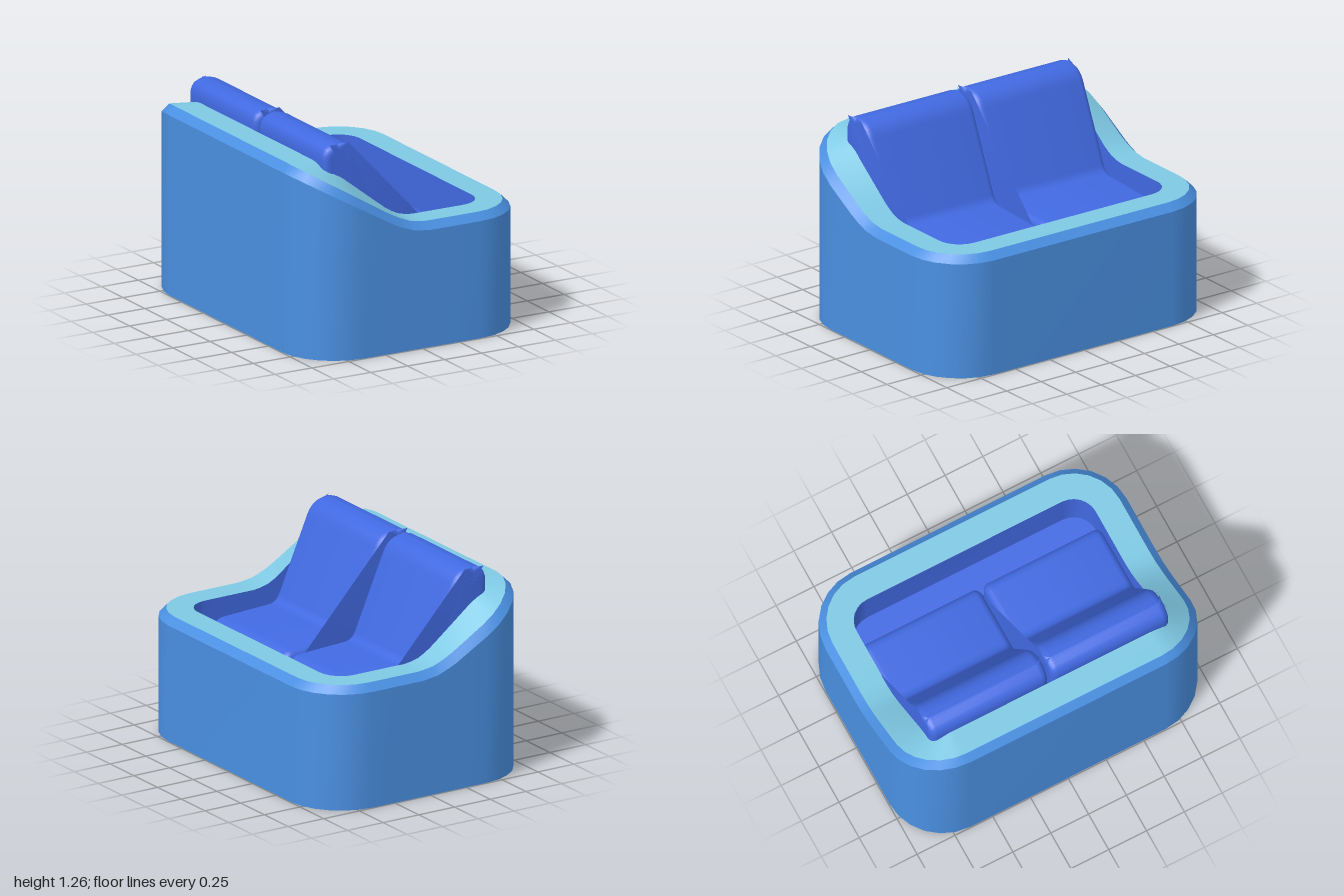
import * as THREE from 'three';
import { toCreasedNormals } from 'three/addons/utils/BufferGeometryUtils.js';

const HX = 0.745, CX = 0.395, CZ = 0.645, R = 0.35; // half width, corner centres, corner radius
const FLOOR = 0.45;

// Height of the outer wall: high back sloping down to a low front
const PROFILE = [[-0.745, 1.1], [-0.19, 0.785], [-0.13, 0.757], [-0.05, 0.728], [0.05, 0.715], [0.745, 0.715]];
function wallHeight(x) {
  for (let i = 1; i < PROFILE.length; i++) {
    const [x0, y0] = PROFILE[i - 1], [x1, y1] = PROFILE[i];
    if (x <= x1) return y0 + (y1 - y0) * Math.max(0, (x - x0) / (x1 - x0));
  }
  return 0.715;
}

// Stations round the rounded rectangle: centre plus outward direction
function makeStations() {
  const list = [];
  const corner = (sx, sz, start) => {
    for (let i = 0; i <= 6; i++) {
      const a = start + (i / 6) * Math.PI / 2;
      list.push([sx * CX, sz * CZ, Math.cos(a), Math.sin(a)]);
    }
  };
  const side = [0.2, 0.05, 0, -0.05, -0.09, -0.13, -0.19, -0.28];
  corner(1, 1, 0);
  side.forEach(x => list.push([x, CZ, 0, 1]));
  corner(-1, 1, Math.PI / 2);
  corner(-1, -1, Math.PI);
  [...side].reverse().forEach(x => list.push([x, CZ * -1, 0, -1]));
  corner(1, -1, Math.PI * 1.5);
  return list;
}
const STATIONS = makeStations();

// Ring inset from the outer wall; height is a function of x
const ring = (inset, heightAt) => STATIONS.map(([cx, cz, dx, dz]) => {
  const x = cx + dx * (R - inset), z = cz + dz * (R - inset);
  return [x, heightAt(x * HX / (HX - inset)), z];
});
const centre = y => STATIONS.map(() => [0, y, 0]);

// Closed band of faces between two rings
function band(a, b) {
  const n = a.length, index = [];
  for (let i = 0; i < n; i++) {
    const j = (i + 1) % n;
    index.push(i, n + i, j, j, n + i, n + j);
  }
  const g = new THREE.BufferGeometry();
  g.setAttribute('position', new THREE.Float32BufferAttribute([...a, ...b].flat(), 3));
  g.setIndex(index);
  g.computeVertexNormals();
  return g;
}

// Polygon with rounded corners; each point is [x, y, radius]
function roundedShape(points) {
  const s = new THREE.Shape(), n = points.length;
  points.forEach(([x, y, r], i) => {
    const p = new THREE.Vector2(x, y);
    const toward = q => new THREE.Vector2(q[0], q[1]).sub(p).setLength(r).add(p);
    const a = toward(points[(i + n - 1) % n]), b = toward(points[(i + 1) % n]);
    if (i === 0) s.moveTo(a.x, a.y); else s.lineTo(a.x, a.y);
    s.quadraticCurveTo(x, y, b.x, b.y);
  });
  s.closePath();
  return s;
}

export function createModel() {
  const group = new THREE.Group();
  const mat = color => new THREE.MeshStandardMaterial({ color });
  const shellMat = mat(0x4a90e2), rimMat = mat(0x7ec8e3), cushionMat = mat(0x4169e1);
  const add = (name, geometry, material) => {
    const m = new THREE.Mesh(geometry, material);
    m.name = name;
    group.add(m);
    return m;
  };

  // Tub shell, from the underside up over the rim and down to the floor
  const base = ring(0, () => 0);
  const outer = ring(0, wallHeight);
  const chamfer = ring(0.045, x => wallHeight(x) + 0.045);
  const inner = ring(0.205, x => wallHeight(x) + 0.045);
  const floor = ring(0.205, () => FLOOR);
  add('underside', band(centre(0), base), shellMat);
  add('outerWall', band(base, outer), shellMat);
  add('rimChamfer', band(outer, chamfer), shellMat);
  add('rimTop', band(chamfer, inner), rimMat);
  add('innerWall', band(inner, floor), cushionMat);
  add('innerFloor', band(floor, centre(FLOOR)), cushionMat);

  // Two one-piece seat cushions with a leaning backrest
  const shape = roundedShape([
    [-0.54, FLOOR, 0.01], [0.35, FLOOR, 0.01], [0.35, 0.65, 0.07],
    [-0.085, 0.67, 0.05], [-0.342, 1.26, 0.1], [-0.54, 1.26, 0.1],
  ]);
  const width = 0.78, bevel = 0.045;
  const extruded = new THREE.ExtrudeGeometry(shape, {
    depth: width - 2 * bevel, curveSegments: 6, bevelEnabled: true,
    bevelThickness: bevel, bevelSize: bevel, bevelOffset: -bevel, bevelSegments: 5,
  });
  extruded.translate(0, 0, -(width / 2 - bevel));
  const cushion = toCreasedNormals(extruded, 0.7);
  add('leftSeatCushion', cushion, cushionMat).position.z = 0.398;
  add('rightSeatCushion', cushion, cushionMat).position.z = -0.402;

  return group;
}
